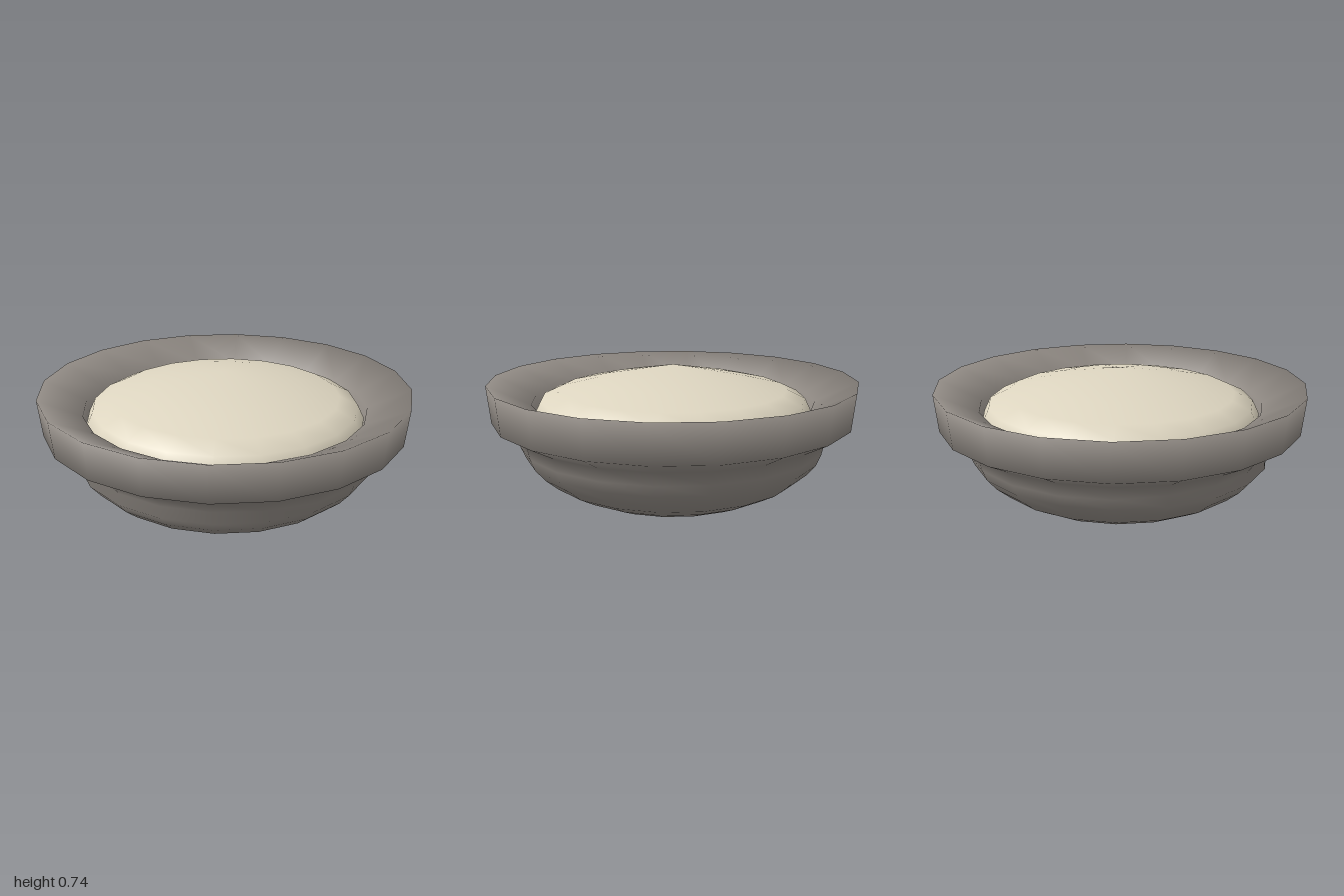
import * as THREE from 'three';
import { mergeVertices } from 'three/addons/utils/BufferGeometryUtils.js';

const SIDES = 20;

// Revolve a profile of [radius, height] pairs, optionally reshape it, and smooth it across the seam.
function revolve(profile, reshape) {
  const geo = new THREE.LatheGeometry(profile.map(([r, y]) => new THREE.Vector2(r, y)), SIDES);
  geo.deleteAttribute('uv');
  geo.deleteAttribute('normal');
  if (reshape) {
    const pos = geo.attributes.position;
    const p = new THREE.Vector3();
    for (let i = 0; i < pos.count; i++) {
      reshape(p.fromBufferAttribute(pos, i));
      pos.setXYZ(i, p.x, p.y, p.z);
    }
  }
  const merged = mergeVertices(geo, 1e-4);
  merged.computeVertexNormals();
  return merged;
}

// Shallow dent around the neck, on the -x / +z side only.
function dent(p) {
  const r = Math.hypot(p.x, p.z);
  if (r < 0.78 || p.y < 0.3 || p.y > 0.35) return;
  const facing = (p.z - p.x) / (r * Math.SQRT2);
  const k = 1 - 0.035 * THREE.MathUtils.smoothstep(facing, 0, 0.7) / r;
  p.x *= k;
  p.z *= k;
}

export function createModel() {
  const group = new THREE.Group();
  group.name = 'filledBowl';

  // Bowl: rounded base, neck, flared rim, funnel-shaped lip and inner wall
  const bowl = new THREE.Mesh(
    revolve([
      [0, 0], [0.18, 0.012], [0.35, 0.04], [0.5, 0.045],
      [0.6, 0.09], [0.69, 0.14], [0.76, 0.2], [0.81, 0.26], [0.835, 0.32], [0.85, 0.39],
      [0.98, 0.46], [1, 0.66],
      [0.77, 0.55], [0.765, 0.44], [0.6, 0.25], [0.3, 0.13], [0, 0.11],
    ], dent),
    new THREE.MeshStandardMaterial({ color: 0x8c8680 }),
  );
  bowl.name = 'bowl';
  group.add(bowl);

  // Contents: low dome with a slight peak
  const filling = new THREE.Mesh(
    revolve([[0.755, 0.44], [0.757, 0.49], [0.72, 0.565], [0.62, 0.612], [0.42, 0.659], [0, 0.74]]),
    new THREE.MeshStandardMaterial({ color: 0xddd5c0 }),
  );
  filling.name = 'filling';
  group.add(filling);

  return group;
}
